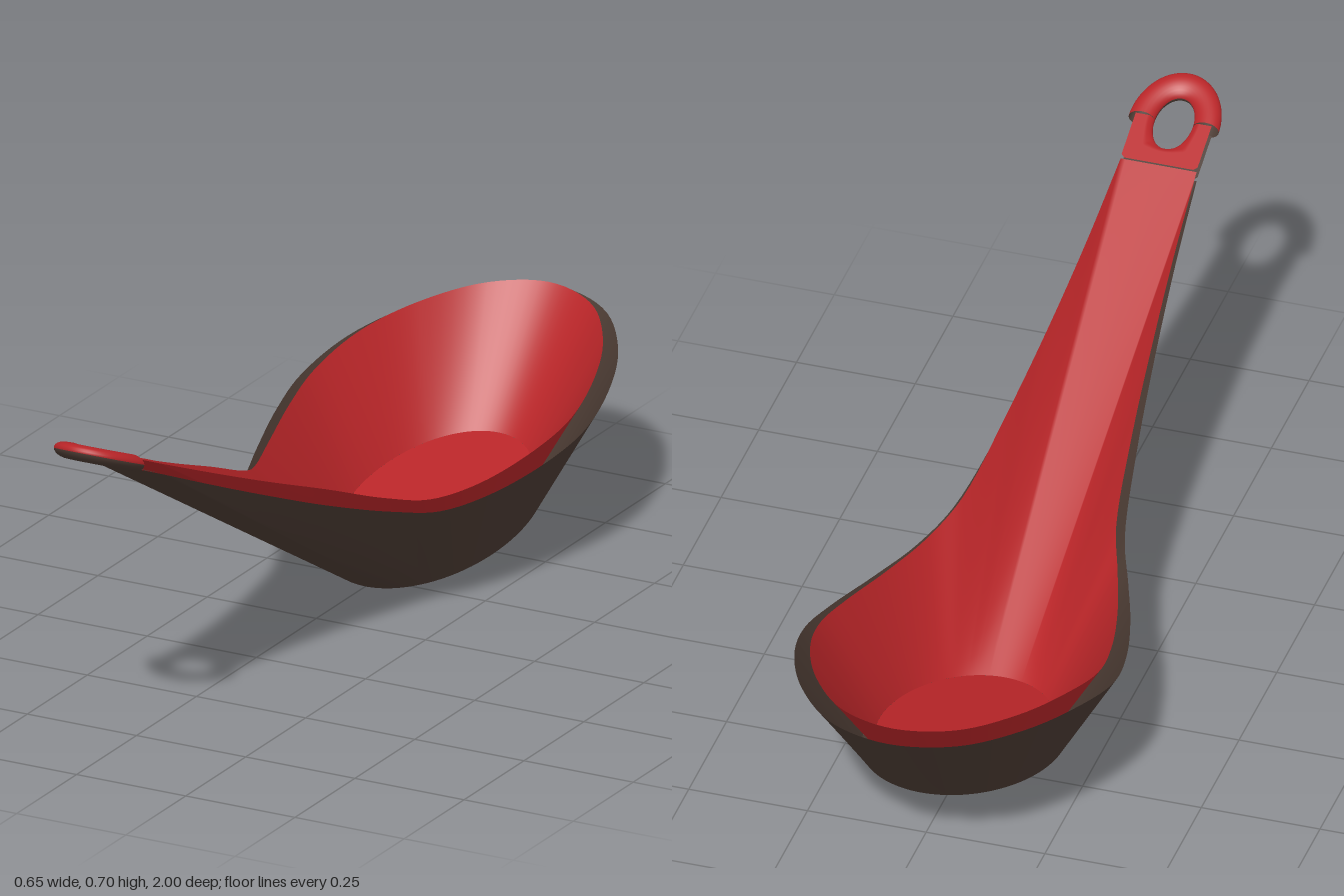
import * as THREE from 'three';
import { ParametricGeometry } from 'three/addons/geometries/ParametricGeometry.js';

const dark = new THREE.MeshStandardMaterial({ color: 0x4a3a32, side: THREE.DoubleSide });
const red = new THREE.MeshStandardMaterial({ color: 0xb82528, side: THREE.DoubleSide });

// Half rim from back tip to handle end: x, y, z, matching angle on the oval base (degrees)
const RIM = [
  [0, 0.38, -1, 0], [0.13, 0.372, -0.955, 20], [0.235, 0.352, -0.83, 45],
  [0.3, 0.325, -0.68, 68], [0.325, 0.288, -0.53, 88], [0.31, 0.26, -0.4, 105],
  [0.268, 0.236, -0.24, 125], [0.222, 0.234, -0.11, 138], [0.18, 0.262, 0, 147],
  [0.142, 0.335, 0.2, 155], [0.115, 0.418, 0.4, 160], [0.094, 0.505, 0.6, 164],
  [0.08, 0.59, 0.79, 168],
];
const BASE_Z = -0.495;
const baseY = (z) => -0.207 * (z + 0.205);

// The lining's rim lies slightly inside and above the outer rim
function inset([x, y, z, a]) {
  const k = THREE.MathUtils.clamp(z / 0.79, 0, 1);
  const lift = z < -0.2 ? 0.018 : z < 0.2 ? 0.018 + (z + 0.2) * 0.04 : 0.034 - (z - 0.2) * 0.02;
  return [x * (0.9 + 0.1 * k), y + lift, z < -0.5 ? -0.5 + (z + 0.5) * 0.94 : z, a];
}

// Straight-sided loft from the oval base to the rim, with a flat tilted floor
function shell(name, material, half, hx, hz, lift, inward) {
  const mirrored = half.slice(1).map(([x, y, z, a]) => [-x, y, z, -a]);
  const full = [...half].reverse().concat(mirrored);
  const rim = new THREE.CatmullRomCurve3(full.map(([x, y, z]) => new THREE.Vector3(x, y, z)));
  const angles = new THREE.CatmullRomCurve3(full.map((p) => new THREE.Vector3(p[3], 0, 0)));
  const endCut = 0.05; // share of the loop spent on the straight handle end

  const wall = new ParametricGeometry((u, v, target) => {
    const s = inward ? 1 - u : u;
    const t = THREE.MathUtils.clamp((s - endCut) / (1 - 2 * endCut), 0, 1);
    const top = rim.getPoint(t);
    let a = angles.getPoint(t).x;
    const k = Math.min(s, 1 - s) / endCut;
    if (k < 1) {
      top.x *= k;
      a = THREE.MathUtils.lerp(Math.sign(a) * 180, a, k);
    }
    a = THREE.MathUtils.degToRad(a);
    const z = BASE_Z - hz * Math.cos(a);
    target.set(hx * Math.sin(a), baseY(z) + lift, z).lerp(top, v);
  }, 160, 16);

  const floor = new THREE.CircleGeometry(1, 72);
  floor.rotateX(inward ? -Math.PI / 2 : Math.PI / 2).scale(hx, 1, hz).translate(0, 0, BASE_Z);
  const p = floor.attributes.position;
  for (let i = 0; i < p.count; i++) p.setY(i, baseY(p.getZ(i)) + lift);
  floor.computeVertexNormals();

  const group = new THREE.Group();
  group.name = name;
  for (const [part, geometry] of [['Wall', wall], ['Floor', floor]]) {
    const mesh = new THREE.Mesh(geometry, material);
    mesh.name = name + part;
    group.add(mesh);
  }
  return group;
}

// One face of the hanging eye: rounded lip at the tip, flat plate towards the handle
function eyeFace(name, material, side, tip) {
  const geometry = new ParametricGeometry((u, v, target) => {
    const a = (tip ? 0 : Math.PI) + Math.PI * (side > 0 ? 1 - u : u);
    const c = Math.cos(a), s = Math.sin(a);
    const reach = Math.min(0.08 / Math.max(Math.abs(c), 1e-6), 0.1 / Math.max(Math.abs(s), 1e-6));
    const ox = tip ? 0.095 * c : reach * c;
    const oz = tip ? 0.11 * s : reach * s;
    const r = (1 - Math.cos(Math.PI * v)) / 2;
    const x = THREE.MathUtils.lerp(0.04 * c, ox, r);
    const z = THREE.MathUtils.lerp(0.058 * s, oz, r);
    const bulge = tip ? 0.018 * Math.sin(Math.PI * v) : 0.012 * Math.min(1, Math.sqrt(r * 4));
    target.set(x, 0.646 + 0.42 * z + side * bulge, 0.89 + z);
  }, 40, 12);
  const mesh = new THREE.Mesh(geometry, material);
  mesh.name = name;
  return mesh;
}

export function createModel() {
  const spoon = new THREE.Group();
  spoon.name = 'soupSpoon';
  spoon.add(shell('outerShell', dark, RIM, 0.198, 0.29, 0, false));
  spoon.add(shell('innerLining', red, RIM.map(inset), 0.17, 0.265, 0.03, true));
  for (const tip of [true, false]) {
    const part = tip ? 'eyeLip' : 'eyePlate';
    spoon.add(eyeFace(part + 'Top', red, 1, tip));
    spoon.add(eyeFace(part + 'Underside', dark, -1, tip));
  }
  return spoon;
}
